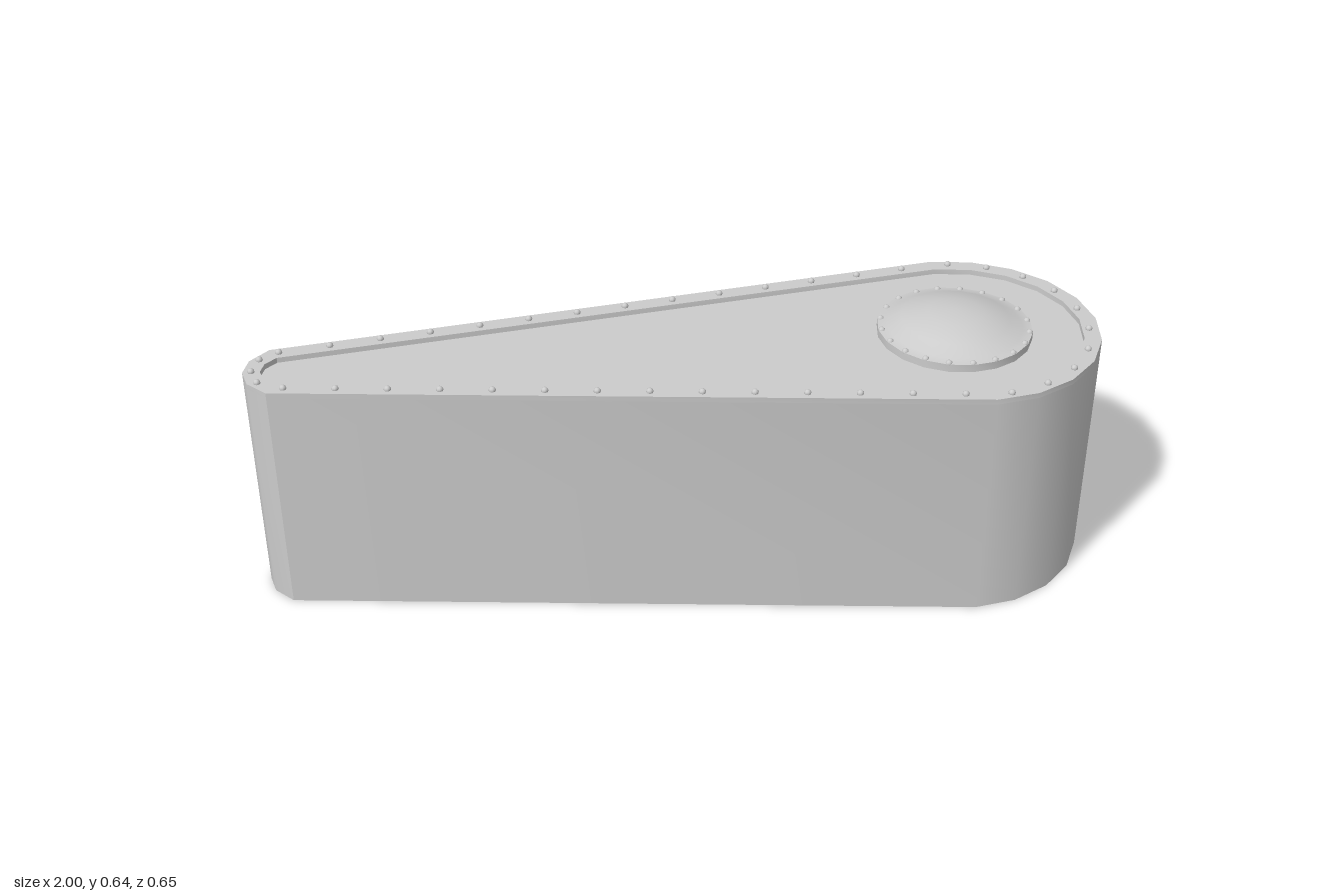
import * as THREE from 'three';
import { toCreasedNormals } from 'three/addons/utils/BufferGeometryUtils.js';

const TOP = 0.586, FLOOR = 0.573; // rim height and recessed panel height
const BIG = { x: 0.675, r: 0.325 };
const HATCH = { x: 0.656, r: 0.183 };

// Teardrop outline, moved inwards by inset
function outline(inset) {
  const k = inset / 0.04;
  const points = [];
  for (let i = -5; i <= 5; i++) {
    const a = (i * Math.PI) / 10;
    points.push(new THREE.Vector2(BIG.x + (BIG.r - inset) * Math.cos(a), (BIG.r - inset) * Math.sin(a)));
  }
  const tip = [[-0.943 + 0.018 * k, 0.095 - 0.038 * k], [-0.987 + 0.036 * k, 0.05 - 0.018 * k], [-1 + 0.04 * k, 0]];
  tip.forEach(([x, z]) => points.push(new THREE.Vector2(x, z)));
  tip.slice(0, 2).reverse().forEach(([x, z]) => points.push(new THREE.Vector2(x, -z)));
  return points;
}

// Upright prism from a shape, standing between two heights
function prism(shape, y0, y1) {
  const g = new THREE.ExtrudeGeometry(shape, { depth: y1 - y0, bevelEnabled: false });
  g.rotateX(-Math.PI / 2).translate(0, y0, 0);
  return toCreasedNormals(g, 0.6);
}

export function createModel() {
  const model = new THREE.Group();
  const material = new THREE.MeshStandardMaterial({ color: 0xcccccc });
  const add = (name, geometry, parent = model) => {
    const mesh = new THREE.Mesh(geometry, material);
    mesh.name = name;
    parent.add(mesh);
    return mesh;
  };

  // Body with a raised rim around its top panel
  add('body', prism(new THREE.Shape(outline(0)), 0, FLOOR));
  const rimShape = new THREE.Shape(outline(0));
  rimShape.holes.push(new THREE.Path(outline(0.04)));
  add('rim', prism(rimShape, FLOOR, TOP));

  // Domed hatch with a flat flange
  const profile = [[HATCH.r, FLOOR], [HATCH.r, 0.592], [0.16, 0.595], [0.128, 0.614], [0.065, 0.629], [0, 0.637]]
    .map(([r, y]) => new THREE.Vector2(r, y));
  const hatch = add('hatchDome', toCreasedNormals(new THREE.LatheGeometry(profile, 20), 0.5));
  hatch.position.x = HATCH.x;

  // Rivets
  const rivetGeometry = new THREE.SphereGeometry(0.0085, 8, 6);
  const rimRivets = new THREE.Group();
  rimRivets.name = 'rimRivets';
  const hatchRivets = new THREE.Group();
  hatchRivets.name = 'hatchRivets';
  model.add(rimRivets, hatchRivets);
  const rivet = (parent, x, y, z) => add('rivet', rivetGeometry, parent).position.set(x, y, z);

  // Along both straight sides, slightly staggered
  for (const [side, start] of [[-1, -0.921], [1, -0.905]]) {
    for (let i = 0; i < 14; i++) {
      const x = start + i * 0.1165;
      rivet(rimRivets, x, TOP + 0.002, side * (0.305 + (x - BIG.x) * 0.142));
    }
    rivet(rimRivets, -0.964, TOP + 0.002, side * 0.05);
  }
  rivet(rimRivets, -0.98, TOP + 0.002, 0);

  // Around the wide end
  for (let i = 0; i < 10; i++) {
    const a = ((i - 4.5) * Math.PI) / 10;
    rivet(rimRivets, 0.665 + 0.307 * Math.cos(a), TOP + 0.002, 0.307 * Math.sin(a));
  }

  // Around the hatch flange
  for (let i = 0; i < 20; i++) {
    const a = (i * Math.PI) / 10;
    rivet(hatchRivets, HATCH.x + 0.175 * Math.cos(a), 0.591, 0.175 * Math.sin(a));
  }
  return model;
}
